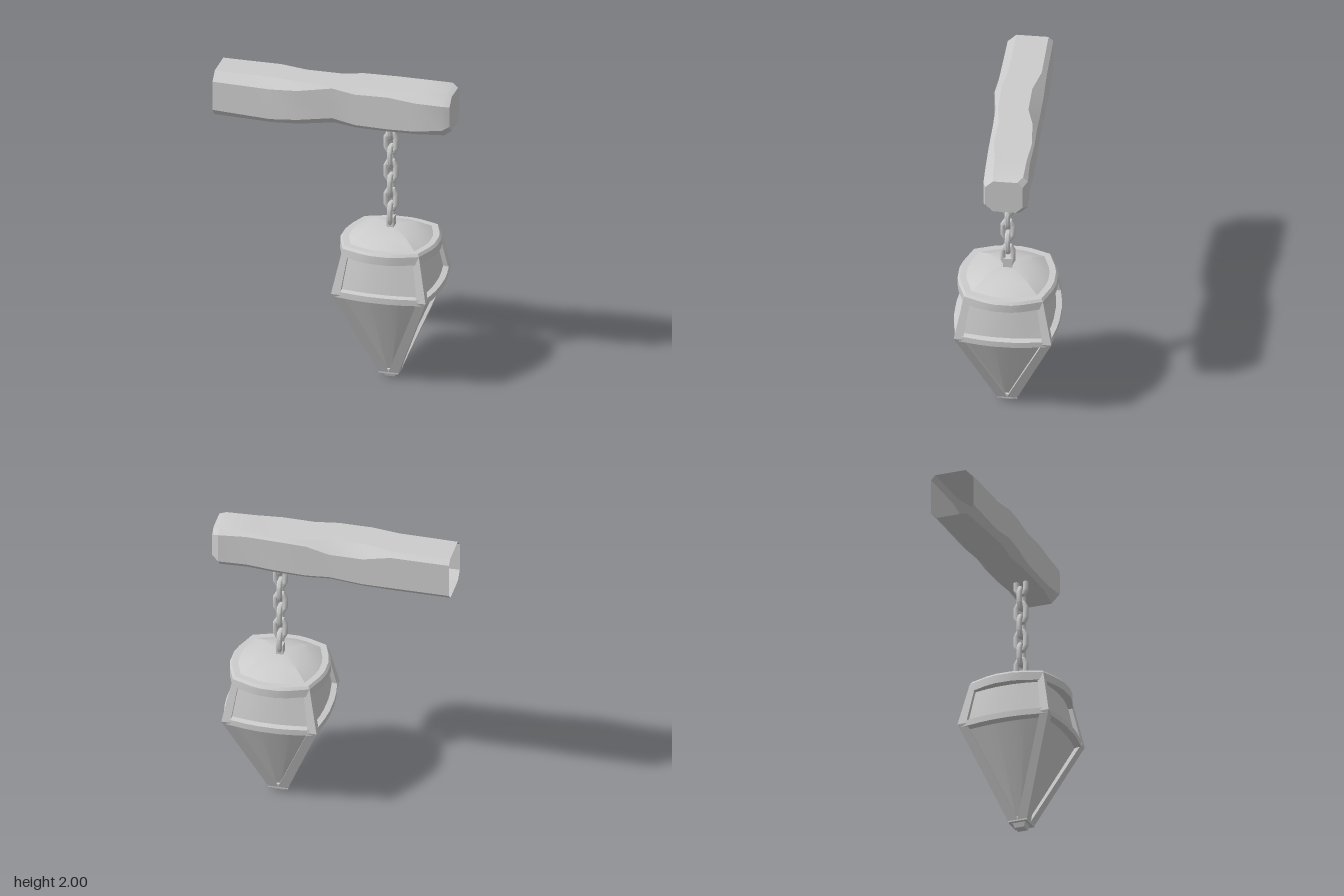
import * as THREE from 'three';
import { toCreasedNormals } from 'three/addons/utils/BufferGeometryUtils.js';

const material = new THREE.MeshStandardMaterial({ color: 0xcccccc, side: THREE.DoubleSide });

// Skin a list of equal-length rings of [x, y, z]; each ring runs counter-clockwise about the direction of travel
function loft(name, rings, { closed = false, capStart = false, capEnd = false, crease = 0.5 } = {}) {
  const n = rings[0].length, pos = [];
  const tri = (...pts) => pts.forEach((p) => pos.push(...p));
  const spans = closed ? rings.length : rings.length - 1;
  for (let i = 0; i < spans; i++) {
    const r = rings[i], s = rings[(i + 1) % rings.length];
    for (let j = 0; j < n; j++) {
      const k = (j + 1) % n;
      tri(r[j], r[k], s[k]);
      tri(r[j], s[k], s[j]);
    }
  }
  const last = rings[rings.length - 1];
  for (let j = 1; j < n - 1; j++) {
    if (capStart) tri(rings[0][0], rings[0][j + 1], rings[0][j]);
    if (capEnd) tri(last[0], last[j], last[j + 1]);
  }
  const geometry = new THREE.BufferGeometry();
  geometry.setAttribute('position', new THREE.Float32BufferAttribute(pos, 3));
  const mesh = new THREE.Mesh(toCreasedNormals(geometry, crease), material);
  mesh.name = name;
  return mesh;
}

// Horizontal square ring: corners at half width c, sides bowed out to m
const BOW = [[-1, 0], [-0.5, 0.75], [-0.22, 1], [0.22, 1], [0.5, 0.75]];
function bowedRing([c, m, y]) {
  const ring = [];
  for (let side = 0; side < 4; side++) {
    for (const [t, w] of BOW) {
      let x = c + (m - c) * w, z = -t * c;
      for (let k = 0; k < side; k++) [x, z] = [z, -x];
      ring.push([x, y, z]);
    }
  }
  return ring;
}

// Plain horizontal square ring between two diagonal corners
const square = (a, b, y) => [[b, y, b], [b, y, a], [a, y, a], [a, y, b]];

// Rough-hewn beam, open at its -x end
function makeBeam() {
  // x, top, bottom, front z, back z, bevels: top front, bottom front, bottom back, top back
  const stations = [
    [-0.78, 2.0, 1.70, 0.13, -0.16, 0.055, 0.05, 0.04, 0.03],
    [-0.4, 2.0, 1.70, 0.14, -0.16, 0.06, 0.035, 0.04, 0.03],
    [-0.22, 2.0, 1.71, 0.15, -0.16, 0.045, 0.045, 0.03, 0.07],
    [0, 2.0, 1.73, 0.12, -0.16, 0.015, 0.05, 0.03, 0.07],
    [0.15, 2.0, 1.72, 0.12, -0.163, 0.04, 0.03, 0.03, 0.03],
    [0.36, 1.995, 1.72, 0.12, -0.167, 0.03, 0.025, 0.04, 0.015],
    [0.54, 2.0, 1.72, 0.12, -0.16, 0.055, 0.03, 0.05, 0.02],
    [0.72, 2.0, 1.72, 0.115, -0.168, 0.06, 0.055, 0.05, 0.03],
    [0.765, 1.985, 1.75, 0.10, -0.14, 0.05, 0.05, 0.045, 0.035],
  ];
  const rings = stations.map(([x, T, B, F, K, a, b, c, d]) => [
    [x, T, F - a], [x, T - a, F], [x, B + b, F], [x, B, F - b],
    [x, B, K + c], [x, B + c, K], [x, T - d, K], [x, T, K + d],
  ]);
  return loft('beam', rings, { capEnd: true, crease: 0.45 });
}

// One long octagonal chain link
function makeLink() {
  const path = [[0.032, -0.035], [0.032, 0.035], [0.016, 0.066], [-0.016, 0.066],
    [-0.032, 0.035], [-0.032, -0.035], [-0.016, -0.066], [0.016, -0.066]];
  const rings = path.map(([x, y], i) => {
    const p = path[(i + 7) % 8], q = path[(i + 1) % 8];
    const len = Math.hypot(q[0] - p[0], q[1] - p[1]);
    const nx = (q[1] - p[1]) / len, ny = -(q[0] - p[0]) / len;
    return Array.from({ length: 8 }, (_, k) => {
      const a = (k + 0.5) * Math.PI / 4, u = 0.018 * Math.cos(a), v = 0.018 * Math.sin(a);
      return [x + nx * v, y + ny * v, u];
    });
  });
  return loft('chainLink', rings, { closed: true, crease: 0.85 });
}

function makeChain() {
  const chain = new THREE.Group();
  chain.name = 'chain';
  const link = makeLink();
  for (let i = 0; i < 7; i++) {
    const copy = link.clone();
    copy.position.y = 1.115 + i * 0.098;
    copy.rotation.y = i % 2 ? 0 : Math.PI / 2;
    chain.add(copy);
  }
  return chain;
}

function makeLantern() {
  const lantern = new THREE.Group();
  lantern.name = 'lantern';
  const stack = (name, levels, options) => lantern.add(loft(name, levels.map(bowedRing), options));

  // Recessed panels
  stack('panels', [[0.035, 0.04, 0.04], [0.275, 0.302, 0.65], [0.225, 0.255, 0.93]], { crease: 0.4 });

  // Bowed frames around the waist and under the roof
  stack('waistBand', [[0.3, 0.335, 0.63], [0.3, 0.335, 0.67], [0.25, 0.28, 0.68], [0.25, 0.28, 0.62]],
    { closed: true });
  stack('roofRim', [[0.252, 0.315, 0.89], [0.25, 0.315, 0.945], [0.24, 0.3, 0.962],
    [0.2, 0.25, 0.962], [0.2, 0.25, 0.89]], { closed: true });

  // Low domed roof
  stack('roof', [[0.225, 0.28, 0.95], [0.2, 0.25, 0.968], [0.135, 0.16, 1.01], [0.05, 0.055, 1.03]],
    { capEnd: true, crease: 0.35 });

  // Four corner posts, bent at the waist
  const post = [[0.065, 0.065, 0.04], [0.31, 0.058, 0.65], [0.25, 0.042, 0.945]]
    .map(([h, w, y]) => square(h - w, h, y));
  for (let i = 0; i < 4; i++) {
    const mesh = loft('cornerPost', post, { capStart: true, capEnd: true, crease: 0.3 });
    mesh.rotation.y = i * Math.PI / 2;
    lantern.add(mesh);
  }

  // Stepped foot
  const foot = [[0.032, 0], [0.042, 0.03], [0.064, 0.03], [0.066, 0.062]].map(([h, y]) => square(-h, h, y));
  lantern.add(loft('foot', foot, { capStart: true, capEnd: true, crease: 0.3 }));

  // Block that holds the lowest link
  const knob = new THREE.Mesh(new THREE.BoxGeometry(0.046, 0.08, 0.06), material);
  knob.name = 'hangerBlock';
  knob.position.y = 1.055;
  lantern.add(knob);
  return lantern;
}

export function createModel() {
  const model = new THREE.Group();
  model.name = 'hangingLantern';
  const chain = makeChain(), lantern = makeLantern();
  chain.position.x = lantern.position.x = 0.355;
  model.add(makeBeam(), chain, lantern);
  return model;
}
